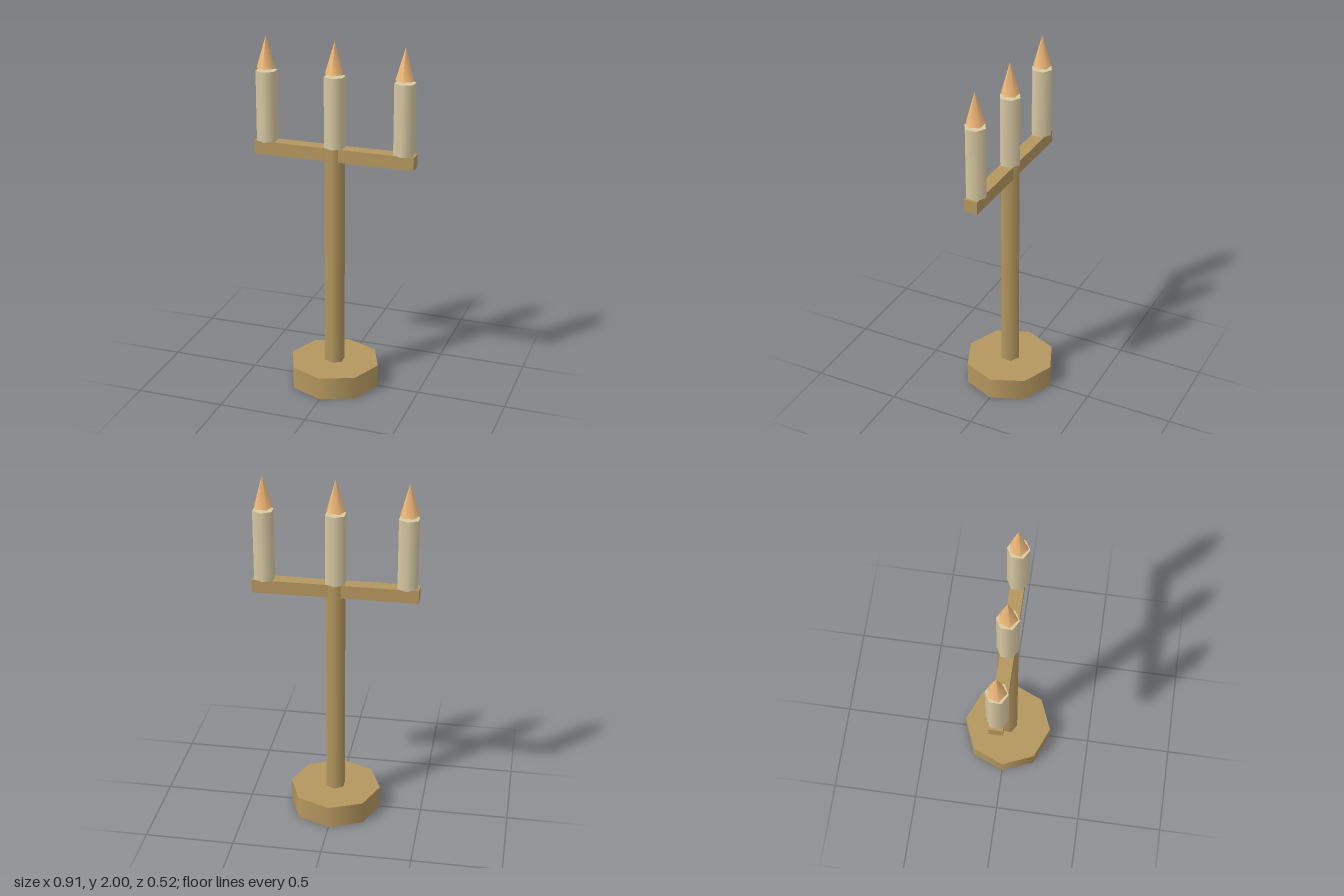
import * as THREE from 'three';

export function createModel() {
  const model = new THREE.Group();
  const brass = new THREE.MeshStandardMaterial({ color: 0xb5975f });
  const wax = new THREE.MeshStandardMaterial({ color: 0xd9caa3 });
  const fire = new THREE.MeshStandardMaterial({ color: 0xf5bd7c });

  // Adds a mesh whose underside sits at the given height
  function add(name, geometry, material, x, bottom, height) {
    const mesh = new THREE.Mesh(geometry, material);
    mesh.name = name;
    mesh.position.set(x, bottom + height / 2, 0);
    model.add(mesh);
  }

  // Octagonal foot, hexagonal stem and crossbar
  add('base', new THREE.CylinderGeometry(0.26, 0.26, 0.13, 8), brass, 0, 0, 0.13);
  add('post', new THREE.CylinderGeometry(0.057, 0.057, 1.28, 6), brass, 0, 0.13, 1.28);
  add('crossbar', new THREE.BoxGeometry(0.91, 0.074, 0.076), brass, 0, 1.338, 0.074);

  // Three candles, each with a flame floating just above it
  const candle = new THREE.CylinderGeometry(0.06, 0.06, 0.395, 6);
  const flame = new THREE.ConeGeometry(0.053, 0.18, 5);
  [['right', -0.39], ['middle', 0], ['left', 0.39]].forEach(([side, x]) => {
    add(side + 'Candle', candle, wax, x, 1.412, 0.395);
    add(side + 'Flame', flame, fire, x, 1.82, 0.18);
  });

  return model;
}
